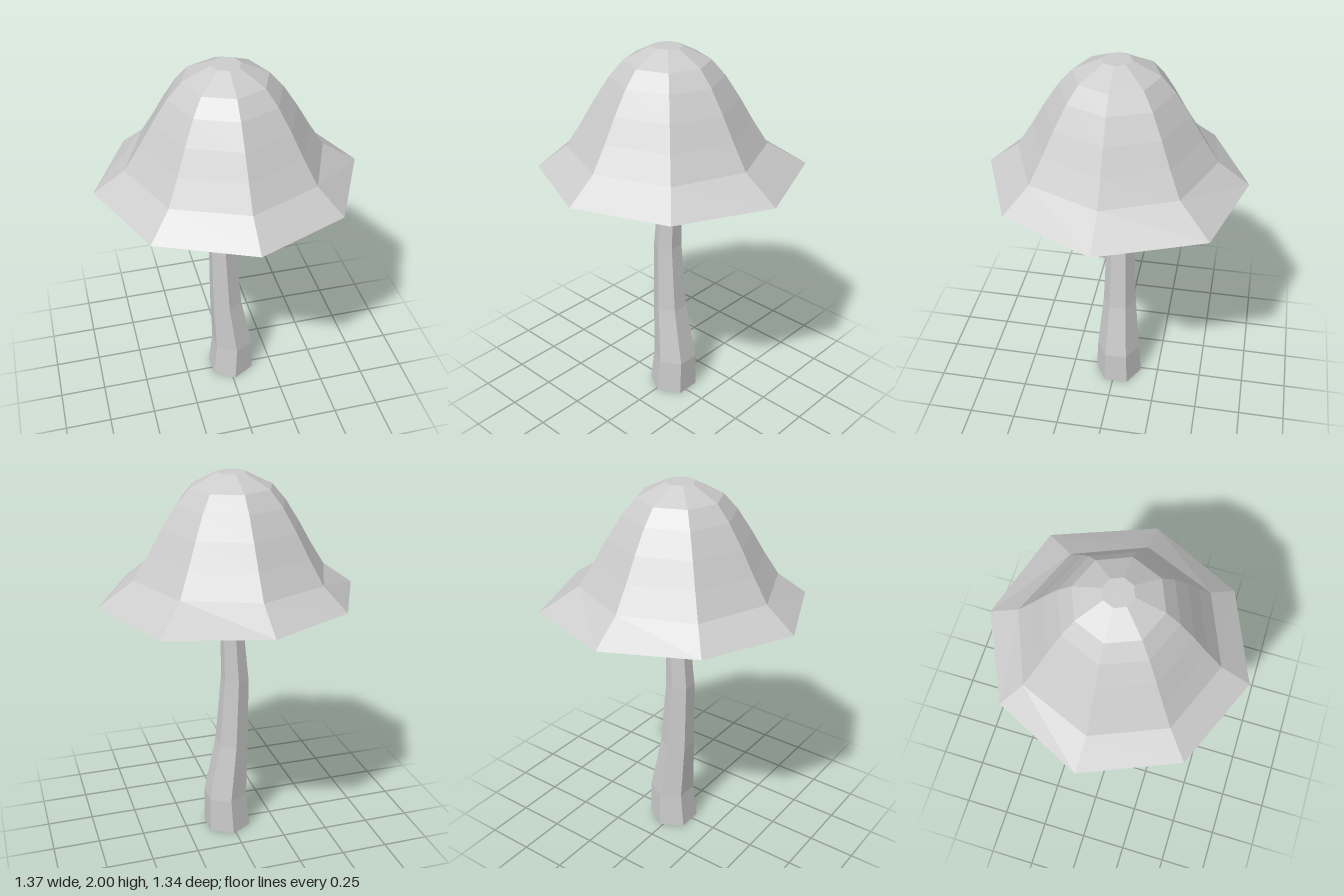
import * as THREE from 'three';

const material = new THREE.MeshStandardMaterial({ color: 0xcccccc, flatShading: true });

// Skins a stack of rings, listed from top to bottom, and closes both ends.
function loft(name, rings) {
  const n = rings[0].length;
  const positions = rings.flat().flatMap((p) => p.toArray());
  const index = [];
  for (let i = 0; i < rings.length - 1; i++) {
    for (let j = 0; j < n; j++) {
      const a = i * n + j, b = i * n + ((j + 1) % n);
      index.push(a, b, a + n, b, b + n, a + n);
    }
  }
  const last = (rings.length - 1) * n;
  for (let j = 1; j < n - 1; j++) {
    index.push(0, j + 1, j);
    index.push(last, last + j, last + j + 1);
  }
  const indexed = new THREE.BufferGeometry();
  indexed.setAttribute('position', new THREE.Float32BufferAttribute(positions, 3));
  indexed.setIndex(index);
  const geometry = indexed.toNonIndexed();
  geometry.computeVertexNormals();
  const mesh = new THREE.Mesh(geometry, material);
  mesh.name = name;
  return mesh;
}

// Regular horizontal polygon
function ring(sides, r, x, y, z, turn = 0) {
  return Array.from({ length: sides }, (_, j) => {
    const t = turn + (j / sides) * Math.PI * 2;
    return new THREE.Vector3(x + r * Math.cos(t), y, z + r * Math.sin(t));
  });
}

export function createModel() {
  const group = new THREE.Group();
  group.name = 'mushroom';

  // Cap: bell-shaped top, uneven flared rim, shallow hollow underside
  const capRing = ([r, y]) => ring(8, r, -0.015, y, 0);
  const top = [[0.075, 2], [0.215, 1.93], [0.285, 1.85], [0.36, 1.735], [0.43, 1.615], [0.51, 1.49]];
  const under = [[0.51, 1.41], [0.12, 1.455], [0.07, 1.5]];
  const rim = [
    [0.68, 0], [0.45, 0.47], [-0.015, 0.665], [-0.485, 0.465],
    [-0.685, -0.01], [-0.465, -0.46], [-0.02, -0.67], [0.48, -0.52],
  ].map(([x, z]) => new THREE.Vector3(x, 1.371 - 0.009 * x, z));
  group.add(loft('cap', [...top.map(capRing), rim, ...under.map(capRing)]));

  // Stem: six-sided, tapering and gently bent; radius, x, y, z per section
  const stem = [
    [0.05, 0, 1.5, -0.018],
    [0.052, -0.005, 1.38, -0.018],
    [0.076, -0.03, 0.9, -0.018],
    [0.092, -0.013, 0.52, -0.018],
    [0.121, 0.025, 0.2, -0.018],
    [0.133, 0.014, 0, -0.018],
  ];
  group.add(loft('stem', stem.map(([r, x, y, z]) => ring(6, r, x, y, z, Math.PI / 6))));

  return group;
}
